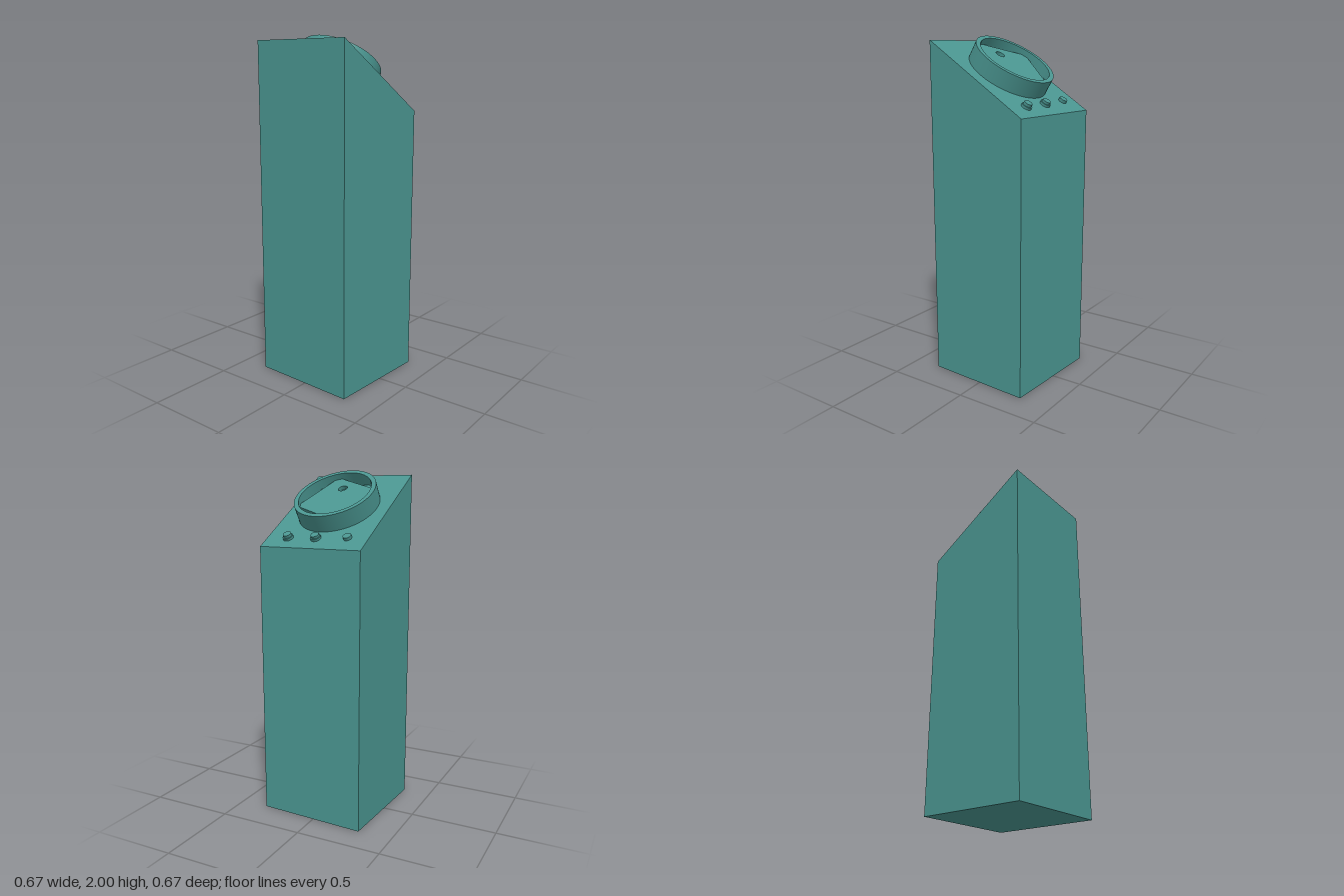
import * as THREE from 'three';
import { toCreasedNormals } from 'three/addons/utils/BufferGeometryUtils.js';

const W = 0.636, FRONT = 1.975, BACK = 1.578, YAW = -0.052;
const MID = (FRONT + BACK) / 2;
const TILT = Math.atan((FRONT - BACK) / W);

export function createModel() {
  const teal = new THREE.MeshStandardMaterial({ color: 0x4a9590 });
  const model = new THREE.Group();
  model.name = 'pedestal';
  model.rotation.y = YAW;

  const add = (parent, name, geometry, x = 0, y = 0, z = 0) => {
    const mesh = new THREE.Mesh(geometry, teal);
    mesh.name = name;
    mesh.position.set(x, y, z);
    parent.add(mesh);
    return mesh;
  };

  // Extrudes a shape upward, from y = 0 to y = height
  const slab = (shape, height) =>
    new THREE.ExtrudeGeometry(shape, { depth: height, bevelEnabled: false, curveSegments: 32 })
      .rotateX(-Math.PI / 2);

  const circleHole = (shape, x, y, r) => {
    shape.holes.push(new THREE.Path().absarc(x, y, r, 0, Math.PI * 2, true));
    return shape;
  };

  // Column with a sloping top, high at the front
  const column = new THREE.BoxGeometry(W, 1, W);
  const p = column.attributes.position;
  for (let i = 0; i < p.count; i++) {
    p.setY(i, p.getY(i) < 0 ? 0 : p.getZ(i) > 0 ? FRONT : BACK);
  }
  column.computeVertexNormals();
  add(model, 'column', column);

  // Control panel lying on the slope
  const slope = new THREE.Group();
  slope.name = 'slope';
  slope.position.y = MID;
  slope.rotation.x = -TILT;
  model.add(slope);
  const panel = new THREE.Group();
  panel.name = 'panel';
  panel.rotation.y = -YAW;
  slope.add(panel);

  // Round housing
  const dial = new THREE.Group();
  dial.name = 'dial';
  dial.position.set(-0.003, 0, 0.02);
  panel.add(dial);
  const ring = circleHole(new THREE.Shape().absarc(0, 0, 0.241, 0, Math.PI * 2), 0, 0, 0.214);
  add(dial, 'dialRing', toCreasedNormals(slab(ring, 0.101), 0.5));

  // Square plates stacked at different turns; their corners end inside the ring wall
  const half = 0.166;
  const square = () => new THREE.Shape([
    new THREE.Vector2(-half, -half), new THREE.Vector2(half, -half),
    new THREE.Vector2(half, half), new THREE.Vector2(-half, half),
  ]);
  add(dial, 'lowerPlate', slab(square(), 0.022)).rotation.y = -0.98;
  add(dial, 'middlePlate', slab(square(), 0.022), 0, 0.022, 0).rotation.y = 0;

  // Top plate with a small hole toward the front
  const turn = -0.46, reach = 0.102;
  const hx = Math.sin(turn) * -reach, hy = -Math.cos(turn) * reach;
  const topShape = circleHole(square(), -hx, hy, 0.027);
  topShape.holes[0] = new THREE.Path().absarc(hx * -1 * -1, hy, 0.027, 0, Math.PI * 2, true);
  add(dial, 'topPlate', slab(topShape, 0.022), 0, 0.044, 0).rotation.y = turn;

  // Push buttons near the back edge, two of them on collars
  for (const [x, z, height, collar] of [
    [-0.18, -0.28, 0.018, false],
    [0.012, -0.283, 0.028, true],
    [0.19, -0.278, 0.03, true],
  ]) {
    add(panel, 'button', new THREE.CylinderGeometry(0.024, 0.024, height, 20), x, height / 2, z);
    if (collar) add(panel, 'buttonCollar', new THREE.CylinderGeometry(0.03, 0.03, 0.014, 20), x, 0.007, z);
  }
  return model;
}
